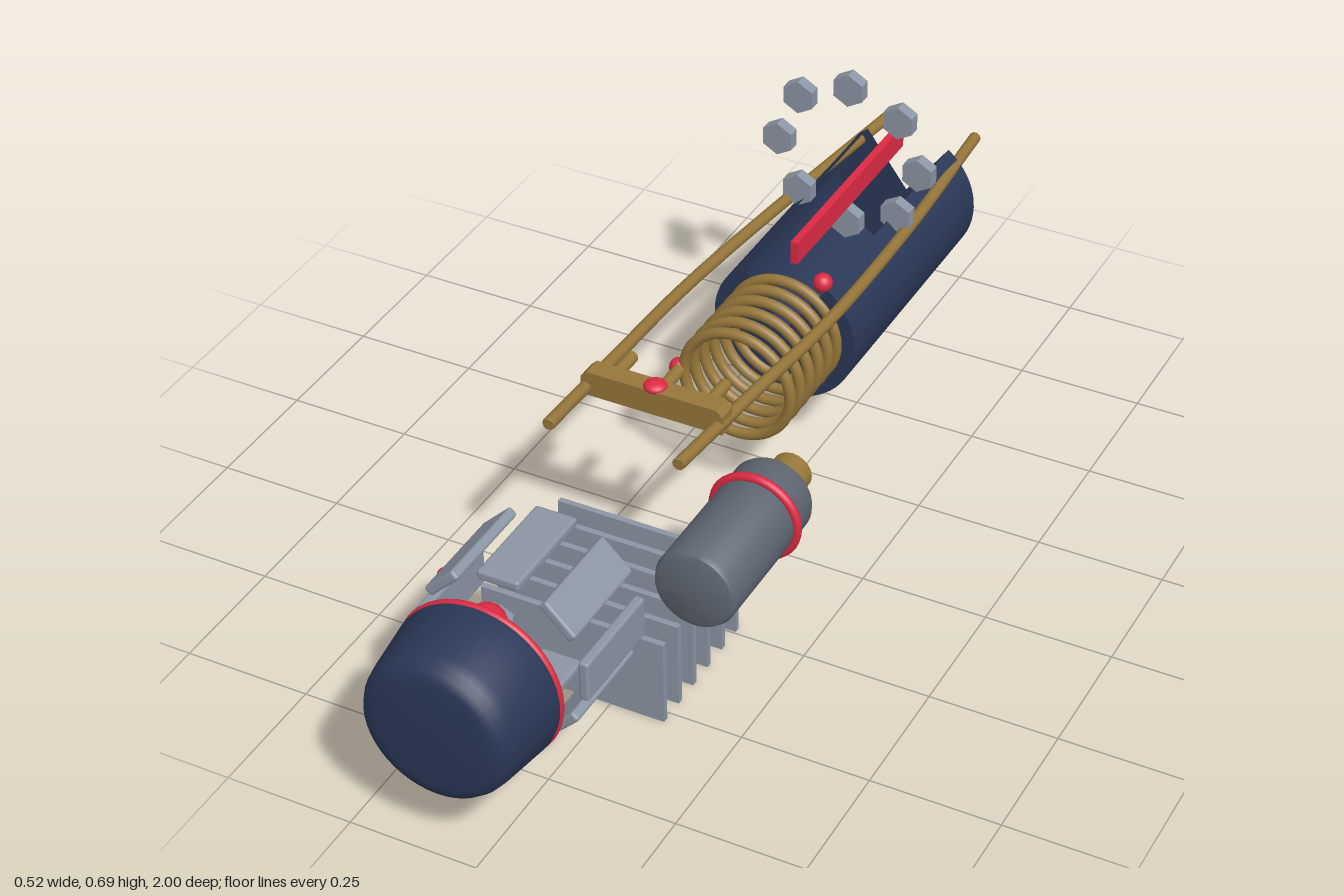
import * as THREE from 'three';
import { toCreasedNormals } from 'three/addons/utils/BufferGeometryUtils.js';
import { RoundedBoxGeometry } from 'three/addons/geometries/RoundedBoxGeometry.js';

const mat = (color, side = THREE.FrontSide) => new THREE.MeshStandardMaterial({ color, side });
const AX = -0.075, AY = 0.265; // main axis of the body

export function createModel() {
  const model = new THREE.Group();
  const navy = mat(0x2a3858), navyOpen = mat(0x2a3858, THREE.DoubleSide);
  const red = mat(0xdc2a42), brass = mat(0x96763a), steel = mat(0x8c95a4), dark = mat(0x5f6672);

  const add = (name, geometry, material, x = 0, y = 0, z = 0, parent = model) => {
    const mesh = new THREE.Mesh(geometry, material);
    mesh.name = name;
    mesh.position.set(x, y, z);
    parent.add(mesh);
    return mesh;
  };
  const group = (name) => {
    const g = new THREE.Group();
    g.name = name;
    model.add(g);
    return g;
  };
  // round solid turned about z; points are [radius, z]
  const turned = (points) => toCreasedNormals(
    new THREE.LatheGeometry(points.map(([r, z]) => new THREE.Vector2(r, z)), 48).rotateX(Math.PI / 2), 0.6);
  const rod = (r, length, sides = 20) => new THREE.CylinderGeometry(r, r, length, sides).rotateX(Math.PI / 2);
  const bead = (name, x, y, z, r, flat = 1) =>
    add(name, new THREE.SphereGeometry(r, 20, 14), red, x, y, z).scale.set(1, flat, 1);

  // nose cap with its seal ring and ball
  add('noseCap', turned([[0, 0.84], [0.158, 0.84], [0.16, 0.85], [0.147, 0.955], [0.143, 0.975],
    [0.135, 0.99], [0.12, 0.998], [0.105, 1], [0, 1]]), navy, AX, AY, 0);
  add('noseSealRing', new THREE.TorusGeometry(0.154, 0.008, 10, 48), red, AX, AY, 0.835);
  bead('noseBall', AX, 0.365, 0.805, 0.036);
  add('noseBallWasher', new THREE.CylinderGeometry(0.046, 0.046, 0.008, 8), steel, AX, 0.365, 0.802);

  // ring of eight plates
  const plates = group('plateRing');
  const plateGeometry = new RoundedBoxGeometry(0.082, 0.02, 0.205, 2, 0.006);
  for (let i = 0; i < 8; i++) {
    const a = i * Math.PI / 4;
    add('ringPlate', plateGeometry, steel, AX + 0.16 * Math.sin(a), AY + 0.16 * Math.cos(a), 0.663, plates).rotation.z = -a;
  }
  bead('plateBead', -0.24, 0.308, 0.663, 0.018, 0.55);

  // stack of upright fins
  const fins = group('finStack');
  const finGeometry = new THREE.BoxGeometry(0.368, 0.175, 0.012);
  for (let i = 0; i < 6; i++) add('fin', finGeometry, steel, AX, 0.0875, 0.24 + 0.056 * i, fins);
  bead('finBead', AX, 0.181, 0.52, 0.021, 0.5);

  // side canister
  const CX = 0.165, CY = 0.3125;
  add('canister', turned([[0, 0.2], [0.066, 0.2], [0.075, 0.204], [0.08, 0.215], [0.08, 0.505],
    [0.075, 0.516], [0.066, 0.52], [0, 0.52]]), dark, CX, CY, 0);
  add('canisterRing', new THREE.TorusGeometry(0.083, 0.009, 10, 40), red, CX, CY, 0.28);
  add('canisterStem', rod(0.039, 0.075), brass, CX, CY, 0.168);

  // pair of bowed rails
  for (const s of [1, -1]) {
    const path = new THREE.CatmullRomCurve3([
      [0.13, 0.443, 0.36], [0.137, 0.423, 0.1], [0.145, 0.398, -0.2],
      [0.128, 0.37, -0.6], [0.096, 0.35, -1],
    ].map(([x, y, z]) => new THREE.Vector3(AX + s * x, y, z)));
    add(s > 0 ? 'leftRail' : 'rightRail', new THREE.TubeGeometry(path, 40, 0.012, 10), brass);
    // rail end discs
    add('railFrontEnd', new THREE.CircleGeometry(0.012, 10), brass, AX + s * 0.13, 0.443, 0.36);
    add('railRearEnd', new THREE.CircleGeometry(0.012, 10).rotateY(Math.PI), brass, AX + s * 0.096, 0.35, -1);
  }

  // bridge across the rails, with chamfered corners and three pegs
  const w = 0.143, h = 0.025, c = 0.012;
  const outline = new THREE.Shape([[-w, -h], [w, -h], [w, h - c], [w - c, h], [c - w, h], [-w, h - c]]
    .map(([x, y]) => new THREE.Vector2(x, y)));
  add('bridge', new THREE.ExtrudeGeometry(outline, { depth: 0.04, bevelEnabled: false }), brass, AX, 0.441, 0.178);
  for (const x of [-0.095, 0, 0.095]) add('bridgePeg', rod(0.012, 0.075, 14), brass, AX + x, 0.444, 0.148);
  bead('bridgeBead', AX, 0.467, 0.2, 0.022, 0.5);

  // spring of separate rings
  const spring = group('spring');
  const ringGeometry = new THREE.TorusGeometry(0.112, 0.011, 12, 48);
  for (let i = 0; i < 6; i++) add('springRing', ringGeometry, brass, AX, AY, -0.12 - 0.04 * i, spring);
  bead('springFrontBead', -0.198, AY, -0.12, 0.019);
  bead('springRearBead', 0.005, 0.398, -0.322, 0.019);

  // barrel with a wedge left open along the top
  const gap = 0.64;
  add('barrel', new THREE.CylinderGeometry(0.15, 0.15, 0.56, 48, 1, false, Math.PI + gap, 2 * Math.PI - 2 * gap)
    .rotateX(Math.PI / 2), navyOpen, AX, AY, -0.6);
  add('barrelBlade', new THREE.BoxGeometry(0.015, 0.048, 0.48), red, AX, 0.418, -0.6);

  // circle of eight hexagonal nuts
  const nuts = group('nutCircle');
  const nutGeometry = new THREE.CylinderGeometry(0.035, 0.035, 0.025, 6).rotateX(Math.PI / 2).toNonIndexed();
  nutGeometry.computeVertexNormals();
  for (let i = 0; i < 8; i++) {
    const a = i * Math.PI / 4;
    add('nut', nutGeometry, steel, AX + 0.15 * Math.sin(a), 0.505 + 0.15 * Math.cos(a), -0.6, nuts);
  }
  return model;
}
